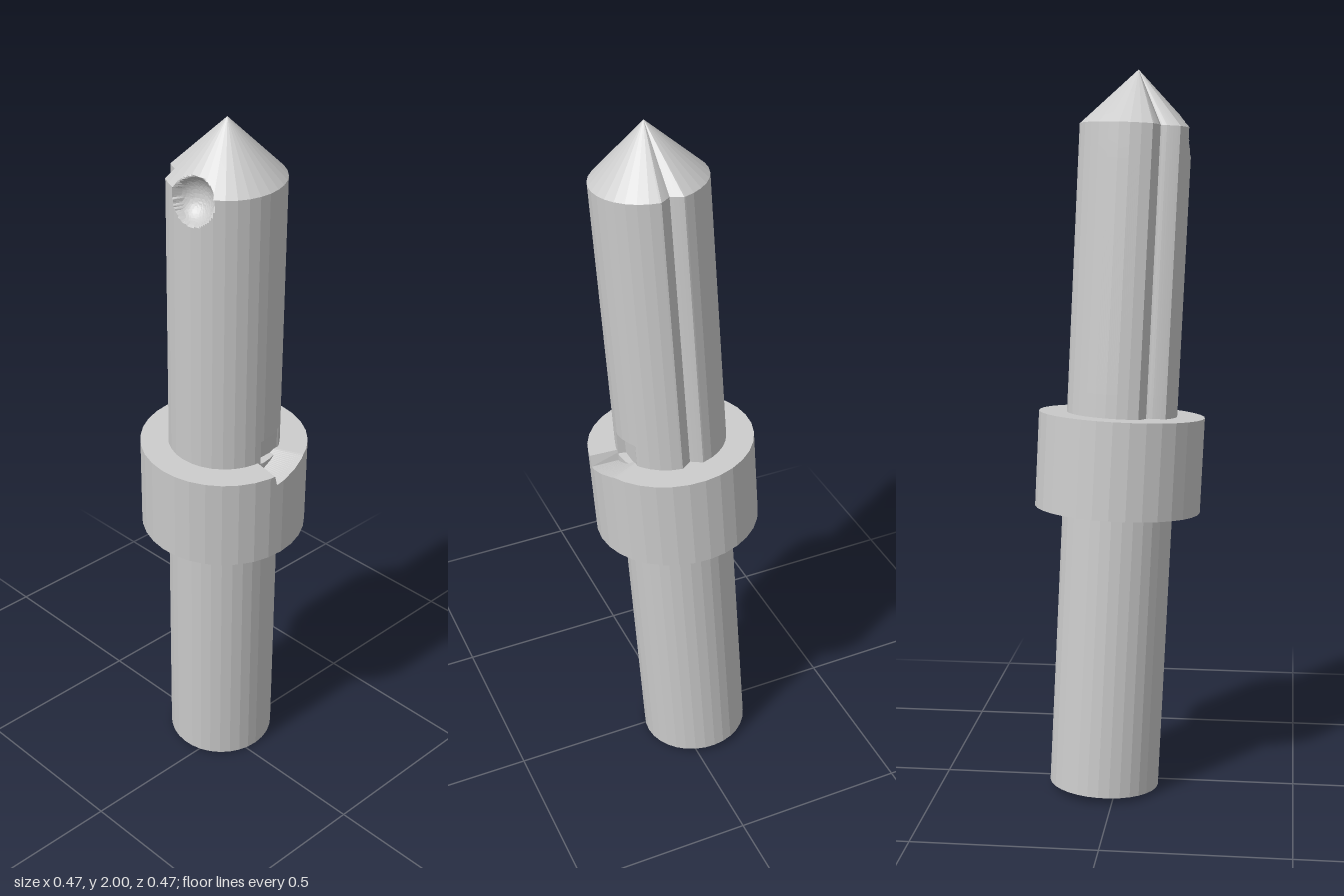
import * as THREE from 'three';

const SEGMENTS = 192; // fine enough for the cuts
const FACETS = 32;    // visible flat sides
const SHAFT_R = 0.154, CONE_Y = 1.843, TIP_Y = 1.995;
const COLLAR_R = 0.231, COLLAR_BOTTOM = 0.79, COLLAR_TOP = 1.056;

// Turns a profile and moves every vertex by rule(vertex, angle, radius)
function turned(name, profile, rule) {
  const geo = new THREE.LatheGeometry(profile.map(([r, y]) => new THREE.Vector2(r, y)), SEGMENTS);
  const pos = geo.attributes.position;
  const v = new THREE.Vector3();
  const step = (2 * Math.PI) / FACETS;
  const rows = profile.length;
  for (let i = 0; i < pos.count; i++) {
    v.fromBufferAttribute(pos, i);
    const angle = ((Math.floor(i / rows) % SEGMENTS) / SEGMENTS) * 2 * Math.PI;
    const facet = (angle % step) - step / 2;
    const k = Math.cos(step / 2) / Math.cos(facet);
    v.x *= k;
    v.z *= k;
    rule(v, angle, profile[i % rows][0]);
    pos.setXYZ(i, v.x, v.y, v.z);
  }
  geo.computeVertexNormals();
  const mesh = new THREE.Mesh(geo, new THREE.MeshStandardMaterial({ color: 0xcccccc, flatShading: true }));
  mesh.name = name;
  return mesh;
}

// Shaft profile, with close rows where the cuts lie
function shaftProfile() {
  const p = [[0, 0], [SHAFT_R, 0], [SHAFT_R, 0.9], [SHAFT_R, 0.92], [SHAFT_R, 1.04]];
  for (const y of [1.049, 1.05, 1.12, 1.121, 1.75]) p.push([SHAFT_R, y]);
  for (let i = 0; i < 24; i++) p.push([SHAFT_R, 1.755 + (i / 24) * (CONE_Y - 1.755)]);
  for (let i = 0; i <= 30; i++) p.push([SHAFT_R * (1 - i / 30), CONE_Y + (i / 30) * (TIP_Y - CONE_Y)]);
  return p;
}

// V grooves: centre angle, half width, depth
const GROOVES = [[Math.PI, 0.2, 0.024], [2 * Math.PI - 0.88, 0.29, 0.035]];
const dimple = new THREE.Sphere(new THREE.Vector3(0.028, 1.826, 0.155), 0.065);

function cutShaft(v, angle, r) {
  // Lengthwise grooves on the upper shaft, tapering to the tip
  if (v.y > 0.91) {
    for (const [centre, half, depth] of GROOVES) {
      const t = 1 - Math.abs(angle - centre) / half;
      if (t > 0) {
        const k = 1 - (depth / SHAFT_R) * t;
        v.x *= k;
        v.z *= k;
      }
    }
  }
  // Shallow flat beside the collar step
  if (v.y > 1.0495 && v.y < 1.1205 && v.z > -0.073 && v.z < 0.006 && v.x > 0) v.x = Math.min(v.x, 0.132);
  // Round dimple at the shoulder
  if (r > 0.02) {
    for (let n = 0; n < 150 && dimple.containsPoint(v); n++) {
      v.x *= 0.993;
      v.z *= 0.993;
    }
  }
}

// Ramped notch in the collar's top face
function cutCollar(v, angle) {
  const from = Math.PI / 2 - 0.11, to = Math.PI / 2 + 0.44;
  if (v.y > COLLAR_TOP - 0.01 && angle >= from && angle <= to) {
    v.y -= 0.032 * (1 - (angle - from) / (to - from));
  }
}

export function createModel() {
  const group = new THREE.Group();
  group.name = 'pointedPin';
  group.add(turned('shaft', shaftProfile(), cutShaft));
  group.add(turned('collar', [
    [0.1, COLLAR_BOTTOM], [COLLAR_R, COLLAR_BOTTOM], [COLLAR_R, COLLAR_TOP], [0.125, COLLAR_TOP],
  ], cutCollar));

  // Slight lean of the whole pin
  const axis = new THREE.Vector3(0.112, 1.988, 0.084).normalize();
  group.quaternion.setFromUnitVectors(new THREE.Vector3(0, 1, 0), axis);
  group.position.set(-0.054, 0.011, -0.037);
  return group;
}
